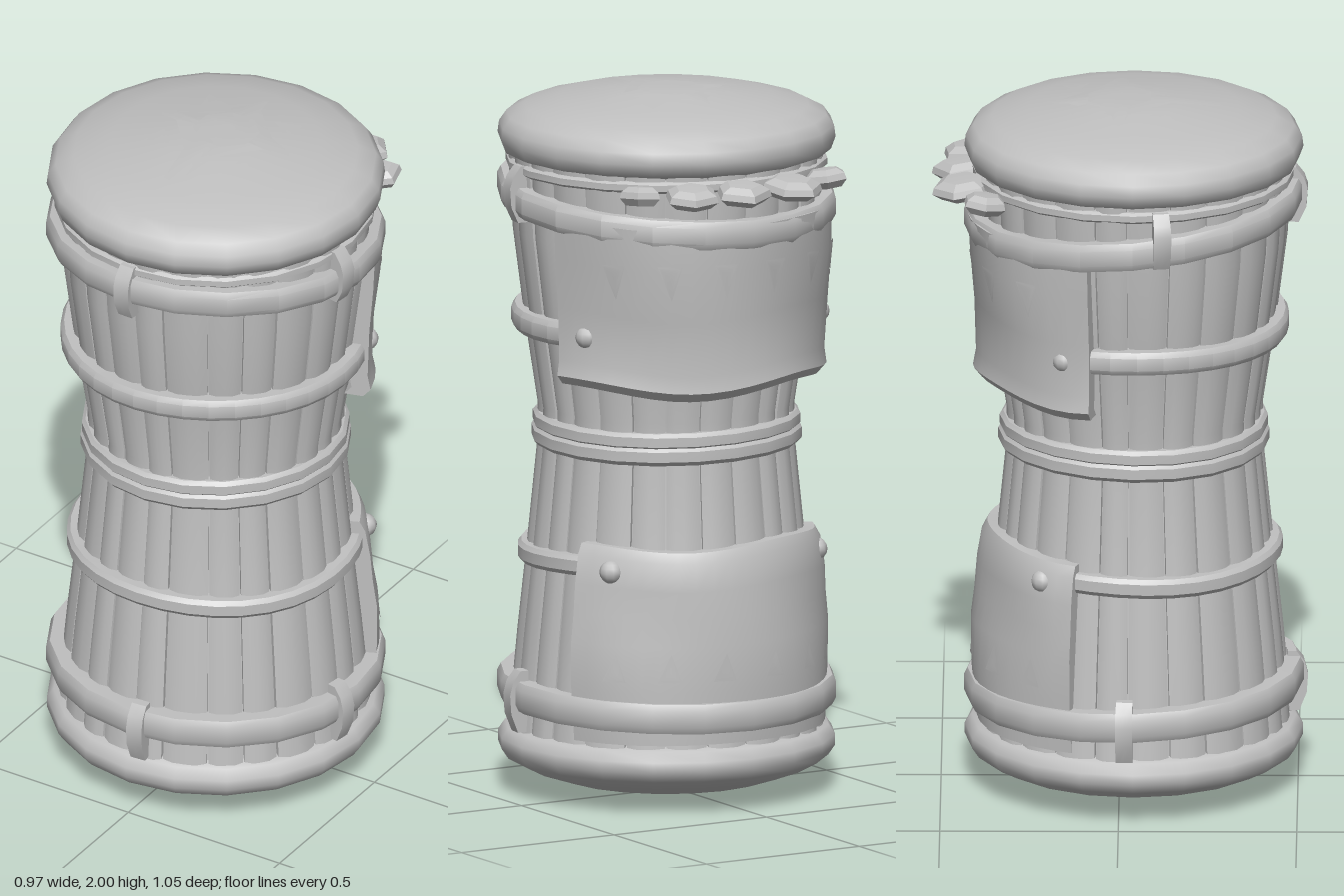
import * as THREE from 'three';
import { toCreasedNormals } from 'three/addons/utils/BufferGeometryUtils.js';

const CZ = 0.04; // drum axis, pushed forward by the stones at the back
const RAD = Math.PI / 180;

// Piecewise linear lookup through [x, value] pairs
function lookup(table, x) {
  for (let i = 1; i < table.length; i++) {
    const [x0, v0] = table[i - 1], [x1, v1] = table[i];
    if (x <= x1) return v0 + (v1 - v0) * Math.max(0, (x - x0) / (x1 - x0));
  }
  return table[table.length - 1][1];
}

const BODY = [[0.15, 0.44], [0.45, 0.412], [0.7, 0.385], [0.98, 0.357], [1.1, 0.355], [1.35, 0.393], [1.6, 0.425], [1.82, 0.438]];
const DOME = [[0, 2], [0.08, 1.999], [0.14, 1.994], [0.3, 1.972], [0.4, 1.947], [0.45, 1.922], [0.471, 1.892], [0.475, 1.86], [0.462, 1.825], [0.425, 1.812]];
const BASE = [[0, 0], [0.13, 0.004], [0.3, 0.034], [0.4, 0.067], [0.455, 0.097], [0.474, 0.125], [0.474, 0.155], [0.455, 0.183], [0.42, 0.192]];

// Sweep a counter-clockwise (radius, height) section around the axis; angle 0 is the front
function sweep(section, a0, a1, steps, closed = false, crease = 0.6) {
  const pos = [], idx = [];
  let n = 0, first, last;
  for (let j = 0; j <= steps; j++) {
    const t = j / steps, a = a0 + (a1 - a0) * t;
    const loop = section(a, t);
    n = loop.length;
    if (j === 0) first = loop;
    last = loop;
    for (const [r, y] of loop) pos.push(r * Math.sin(a), y, CZ + r * Math.cos(a));
  }
  for (let j = 0; j < steps; j++) for (let i = 0; i < n; i++) {
    const k = (i + 1) % n, p = j * n, q = p + n;
    idx.push(p + i, q + i, q + k, p + i, q + k, p + k);
  }
  if (!closed) {
    const cap = (loop) => THREE.ShapeUtils.triangulateShape(loop.map(([r, y]) => new THREE.Vector2(r, y)), []);
    for (const [a, b, c] of cap(first)) idx.push(a, b, c);
    for (const [a, b, c] of cap(last)) idx.push(steps * n + a, steps * n + c, steps * n + b);
  }
  const g = new THREE.BufferGeometry();
  g.setAttribute('position', new THREE.Float32BufferAttribute(pos, 3));
  g.setIndex(idx);
  return toCreasedNormals(g, crease);
}

// Fill a flat outline from its centre in rings, then map every point onto a curved surface
function patch(outline, map, rings = 4) {
  const n = outline.length, pos = [], idx = [];
  const cx = outline.reduce((s, p) => s + p[0], 0) / n, cy = outline.reduce((s, p) => s + p[1], 0) / n;
  for (let k = 0; k <= rings; k++) for (const [x, y] of outline) {
    pos.push(...map(cx + (x - cx) * k / rings, cy + (y - cy) * k / rings));
  }
  for (let k = 0; k < rings; k++) for (let i = 0; i < n; i++) {
    const a = k * n + i, b = k * n + (i + 1) % n;
    if (k > 0) idx.push(a, b + n, b);
    idx.push(a, a + n, b + n);
  }
  const g = new THREE.BufferGeometry();
  g.setAttribute('position', new THREE.Float32BufferAttribute(pos, 3));
  g.setIndex(idx);
  g.computeVertexNormals();
  return g;
}

export function createModel() {
  const group = new THREE.Group();
  const grey = new THREE.MeshStandardMaterial({ color: 0xc0c0c0 });
  grey.name = 'plain grey';
  const greyThin = grey.clone();
  greyThin.side = THREE.DoubleSide;
  const add = (name, geometry, material = grey) => {
    const m = new THREE.Mesh(geometry, material);
    m.name = name;
    group.add(m);
    return m;
  };
  let seed = 7;
  const rand = () => (seed = (seed * 16807) % 2147483647) / 2147483647;

  // Domed heads at both ends
  const lathe = (pts, sides) => new THREE.LatheGeometry(pts.map(([r, y]) => new THREE.Vector2(r, y)), sides);
  add('drumHead', lathe([...DOME].reverse(), 20)).position.z = CZ;
  add('drumBase', lathe(BASE, 20)).position.z = CZ;

  // Inner core behind the stave gaps
  add('core', lathe(BODY.map(([y, r]) => [r - 0.018, y]), 24)).position.z = CZ;

  // Wooden staves of slightly uneven width
  const COUNT = 24, widths = Array.from({ length: COUNT }, () => 0.8 + 0.4 * rand());
  const total = widths.reduce((s, w) => s + w, 0);
  let angle = 0;
  for (const w of widths) {
    const span = w / total * Math.PI * 2, bump = (rand() - 0.5) * 0.008;
    add('stave', sweep((a, t) => {
      const round = (t === 0 || t === 1) ? -0.006 : 0.003;
      const outer = BODY.map(([y, r]) => [r + bump + round, y]);
      const inner = BODY.map(([y, r]) => [r - 0.03, y]).reverse();
      return [...outer, ...inner];
    }, angle + 0.006, angle + span - 0.006, 4));
    angle += span;
  }

  // Hoops: half height h, centre height yAt(angle), optional open ends that taper
  const hoop = (name, r, h, depth, yAt, end = 180) => {
    const open = end < 180, steps = open ? 24 : 20;
    add(name, sweep((a, t) => {
      const k = open && (t === 0 || t === 1) ? 0.55 : 1, y = yAt(a), hh = h * k;
      return [[r - depth, y - hh], [r - 0.01, y - hh], [r, y - hh * 0.55], [r, y + hh * 0.55], [r - 0.01, y + hh], [r - depth, y + hh]];
    }, -end * RAD, end * RAD, steps, !open));
  };
  hoop('neckRing', 0.452, 0.016, 0.04, () => 1.79);
  hoop('topHoop', 0.476, 0.04, 0.055, (a) => 1.692 + 0.042 * Math.cos(a) + 0.008 * Math.sin(a));
  hoop('upperHoop', 0.435, 0.033, 0.055, (a) => 1.35 + 0.004 * Math.sin(3 * a), 118);
  hoop('waistHoop', 0.376, 0.024, 0.04, (a) => 1.053 + 0.004 * Math.sin(2 * a));
  hoop('waistHoop', 0.38, 0.026, 0.04, (a) => 1.012 + 0.004 * Math.sin(2 * a));
  hoop('lowerHoop', 0.418, 0.028, 0.05, (a) => 0.685 + 0.006 * Math.cos(3 * a), 128);
  hoop('bottomHoop', 0.476, 0.042, 0.06, (a) => 0.292 + 0.016 * Math.cos(a));
  for (const s of [-1, 1]) {
    for (const [a, r, y] of [[117, 0.425, 1.35], [127, 0.42, 0.685]]) {
      const knob = add('hoopEnd', new THREE.SphereGeometry(0.033, 10, 8));
      knob.position.set(s * r * Math.sin(a * RAD), y, CZ + r * Math.cos(a * RAD));
    }
  }

  // Straps hooked over the top and bottom hoops
  const strap = (deg, y0, y1) => {
    const half = 0.024 / 0.48, m = (y0 + y1) / 2;
    add('strap', sweep(() => [[0.43, y0], [0.463, y0], [0.484, m - 0.035], [0.488, m + 0.02], [0.478, y1 - 0.03], [0.455, y1], [0.43, y1]],
      deg * RAD - half, deg * RAD + half, 2));
  };
  for (const d of [-1, -80, 82]) strap(d, 1.645, 1.805);
  for (const d of [4, -93, 82]) strap(d, 0.19, 0.365);

  // Hide wraps around the back
  const UPPER = [[1.2, 0.425], [1.225, 0.446], [1.27, 0.438], [1.42, 0.448], [1.56, 0.464], [1.68, 0.468]];
  const LOWER = [[0.2, 0.447], [0.35, 0.455], [0.48, 0.452], [0.56, 0.442], [0.64, 0.438], [0.72, 0.427], [0.75, 0.412]];
  const ripple = (a, y) => 0.005 * Math.sin(5 * a + 9 * y);
  const wrap = (name, table, edge, lift) => add(name, sweep((a) => {
    const c = Math.cos(a), y0 = table[0][0];
    const outer = table.map(([y, r]) => [r + ripple(a, y), y + lift(y - y0, c, a)]);
    const inner = table.map(([y, r]) => [r - 0.05, y + lift(y - y0, c, a)]).reverse();
    return [...outer, ...inner];
  }, edge * RAD, (360 - edge) * RAD, 20, false, 0.8));
  wrap('upperHide', UPPER, 106, (h, c, a) => (0.014 * Math.sin(4 * a) + 0.012 * c) * (1 - h));
  wrap('lowerHide', LOWER, 113, (h, c, a) => 0.014 * Math.sin(4 * a) * h);

  // Small triangular marks along each wrap
  const marks = (table, y0, y1) => {
    for (let i = 0; i < 6; i++) {
      const a0 = (130 + i * 20) * RAD, w = 0.075;
      const tri = [[a0 - w, y0], [a0 + w, y0], [a0 + 0.01, y1]];
      add('hideMark', patch(y1 < y0 ? tri.reverse() : tri, (a, y) => {
        const r = lookup(table, y) + ripple(a, y) + 0.003;
        return [r * Math.sin(a), y, CZ + r * Math.cos(a)];
      }), greyThin);
    }
  };
  marks(UPPER, 1.57, 1.47);
  marks(LOWER, 0.38, 0.46);

  // Row of faceted stones under the back rim: x, z, radius, sides
  for (const [x, z, r, sides] of [[-0.27, -0.375, 0.065, 6], [-0.12, -0.44, 0.088, 6], [0.045, -0.445, 0.083, 5], [0.195, -0.42, 0.08, 6], [0.312, -0.335, 0.06, 5]]) {
    const g = lathe([[0, -0.028], [r * 0.7, -0.026], [r, -0.006], [r * 0.92, 0.012], [r * 0.6, 0.027], [0, 0.029]], sides);
    const stone = add('stone', toCreasedNormals(g, 0.4));
    stone.position.set(x, 1.775, z);
    stone.rotation.set(-0.15, Math.atan2(x, z - CZ), 0, 'YXZ');
    if (z < -0.4) stone.rotation.x = 0.12;
  }

  // Star emblem laid on the top head, in (x, z)
  const onDome = (lift) => (x, z) => [x, lookup(DOME, Math.hypot(x, z - CZ)) + lift, z];
  const ring = (r, n, turn) => Array.from({ length: n }, (_, i) => {
    const a = turn - i / n * Math.PI * 2;
    return [0.01 + r * Math.cos(a), r * Math.sin(a)];
  });
  const star = [[0.015, -0.215], [0.03, -0.15], [0.135, -0.04], [0.21, -0.012], [0.222, 0.01], [0.2, 0.022], [0.15, 0.025],
    [0.055, 0.14], [0.025, 0.28], [0.005, 0.287], [-0.02, 0.28], [-0.04, 0.145], [-0.14, 0.025], [-0.195, 0.015], [-0.208, 0], [-0.195, -0.015],
    [-0.145, -0.02], [-0.02, -0.145], [0.002, -0.2]];
  add('starEmblem', patch(star, onDome(0.002)), greyThin);
  add('emblemOctagon', patch(ring(0.095, 8, Math.PI / 8), onDome(0.003)), greyThin);
  add('emblemCentre', patch(ring(0.027, 8, 0), onDome(0.004), 2), greyThin);
  const tips = [
    [[-0.145, -0.155], [-0.065, -0.125], [-0.125, -0.08]],
    [[0.165, -0.16], [0.165, -0.085], [0.09, -0.12]],
    [[-0.145, 0.08], [-0.09, 0.14], [-0.17, 0.16]],
    [[0.145, 0.09], [0.185, 0.165], [0.1, 0.14]],
  ];
  for (const t of tips) add('emblemPoint', patch(t, onDome(0.002), 2), greyThin);
  // Emblem faces look upward
  group.children.filter((m) => /mblem/.test(m.name)).forEach((m) => {
    const n = m.geometry.attributes.normal;
    if (n.getY(n.count - 1) < 0) {
      m.geometry.setIndex([...m.geometry.index.array].reverse());
      m.geometry.computeVertexNormals();
    }
  });
  return group;
}
